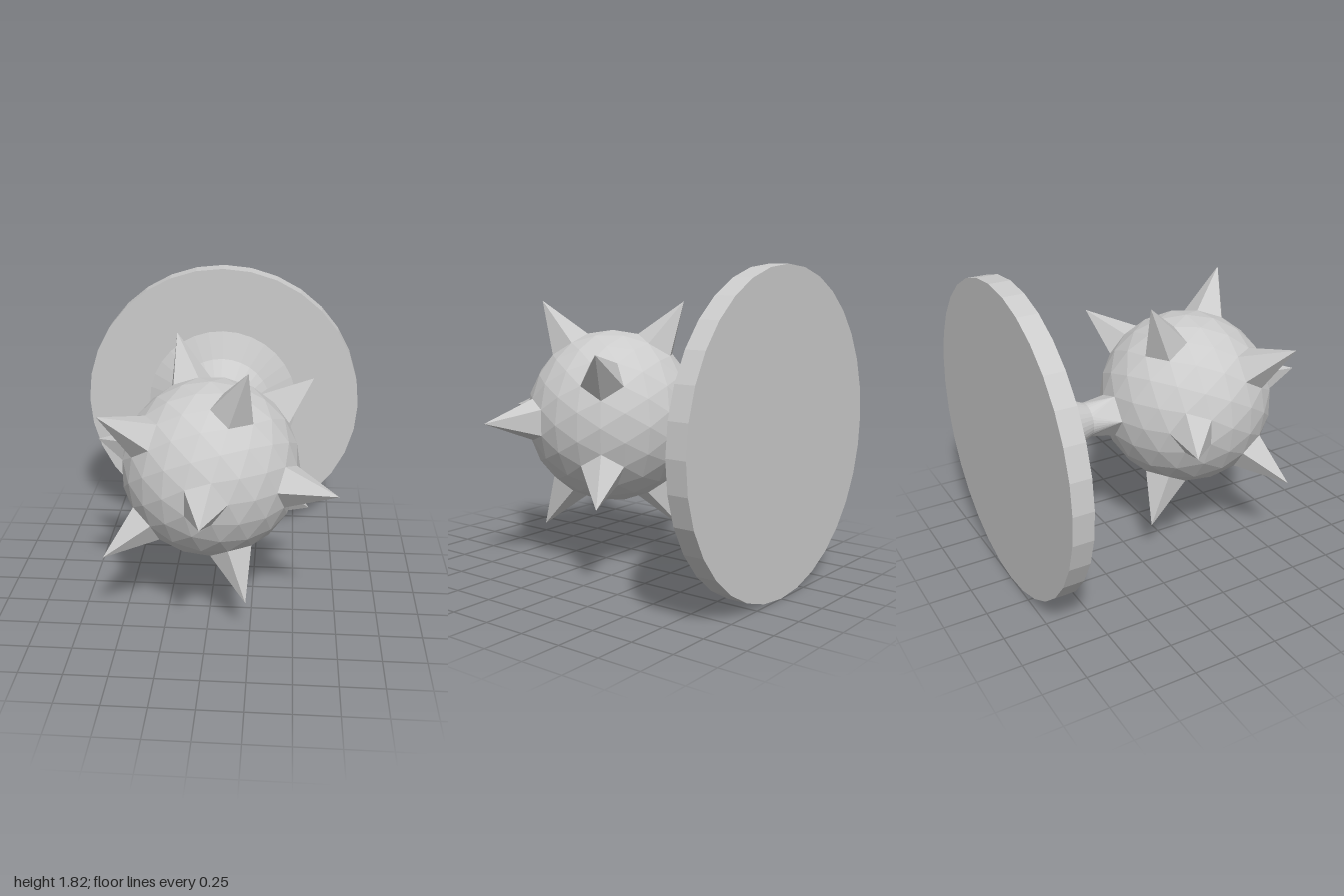
import * as THREE from 'three';

const CENTER_Y = 0.91, BALL_Z = 0.19, BALL_R = 0.517;
const CAP_Z = 0.5, CAP_R = 0.13, TIP = 0.81; // spike base offset, base radius, tip distance
const SIDES = 32;

export function createModel() {
  const group = new THREE.Group();
  group.name = 'spikedBallOnWallMount';
  const material = new THREE.MeshStandardMaterial({ color: 0xcccccc, flatShading: true });

  function add(name, geometry, parent = group) {
    const geo = geometry.index ? geometry.toNonIndexed() : geometry;
    geo.computeVertexNormals();
    const mesh = new THREE.Mesh(geo, material);
    mesh.name = name;
    parent.add(mesh);
    return mesh;
  }

  // Rotation taking +Y to dir, with +Z turned as near to ref as possible
  function alignMatrix(dir, ref) {
    const z = ref.clone().addScaledVector(dir, -ref.dot(dir)).normalize();
    return new THREE.Matrix4().makeBasis(new THREE.Vector3().crossVectors(dir, z), dir, z);
  }

  // Faceted ball, turned so that one five-fold corner faces the front
  const ball = new THREE.Group();
  ball.name = 'ball';
  ball.position.set(0, CENTER_Y, BALL_Z);
  group.add(ball);

  const t = (1 + Math.sqrt(5)) / 2;
  const corner = new THREE.Vector3(0, 1, t).normalize();
  const neighbour = new THREE.Vector3(0, -1, t).normalize();
  const front = new THREE.Vector3(0, 0, 1), back = new THREE.Vector3(0, 0, -1);
  const side = new THREE.Vector3(1, 0, 0);
  const sphere = new THREE.IcosahedronGeometry(BALL_R, 3);
  sphere.applyMatrix4(alignMatrix(front, side).multiply(alignMatrix(corner, neighbour).invert()));
  add('ballBody', sphere, ball);

  // Five-sided spikes on every corner but the rear one
  function addSpike(name, dir, ref) {
    const cone = new THREE.ConeGeometry(CAP_R, TIP - CAP_Z, 5, 1, true);
    cone.translate(0, (TIP + CAP_Z) / 2, 0);
    cone.applyMatrix4(alignMatrix(dir, ref));
    add(name, cone, ball);
  }
  addSpike('frontSpike', front, side);
  for (let i = 0; i < 5; i++) {
    for (const s of [1, -1]) {
      const a = (i * 2 + (s < 0 ? 1 : 0)) * Math.PI / 5;
      const dir = new THREE.Vector3(2 * Math.cos(a), 2 * Math.sin(a), s).normalize();
      addSpike((s > 0 ? 'frontRingSpike' : 'rearRingSpike') + i, dir, s > 0 ? front : back);
    }
  }

  // Stem: pentagon at the ball, blending to round and flaring out to the plate
  const rings = [[CAP_R, BALL_Z - CAP_Z], [0.1, -0.475], [0.183, -0.675], [0.325, -0.815], [0.495, -0.88]];
  const point = (ring, i) => {
    let a = i / SIDES * Math.PI * 2;
    if (ring === 0) a = (Math.round((a / Math.PI * 5 - 1) / 2) * 2 + 1) * Math.PI / 5;
    const [r, z] = rings[ring];
    return [r * Math.cos(a), CENTER_Y + r * Math.sin(a), z];
  };
  const verts = [];
  for (let k = 0; k < rings.length - 1; k++) {
    for (let i = 0; i < SIDES; i++) {
      const a = point(k, i), b = point(k, i + 1), c = point(k + 1, i + 1), d = point(k + 1, i);
      verts.push(...a, ...d, ...c);
      if (Math.hypot(a[0] - b[0], a[1] - b[1]) > 1e-6) verts.push(...a, ...c, ...b);
    }
  }
  const stem = new THREE.BufferGeometry();
  stem.setAttribute('position', new THREE.Float32BufferAttribute(verts, 3));
  add('stem', stem);

  // Round mounting plate
  const plate = new THREE.CylinderGeometry(0.908, 0.908, 0.12, SIDES);
  plate.rotateX(Math.PI / 2);
  add('mountingPlate', plate).position.set(0, CENTER_Y, -0.94);

  return group;
}
